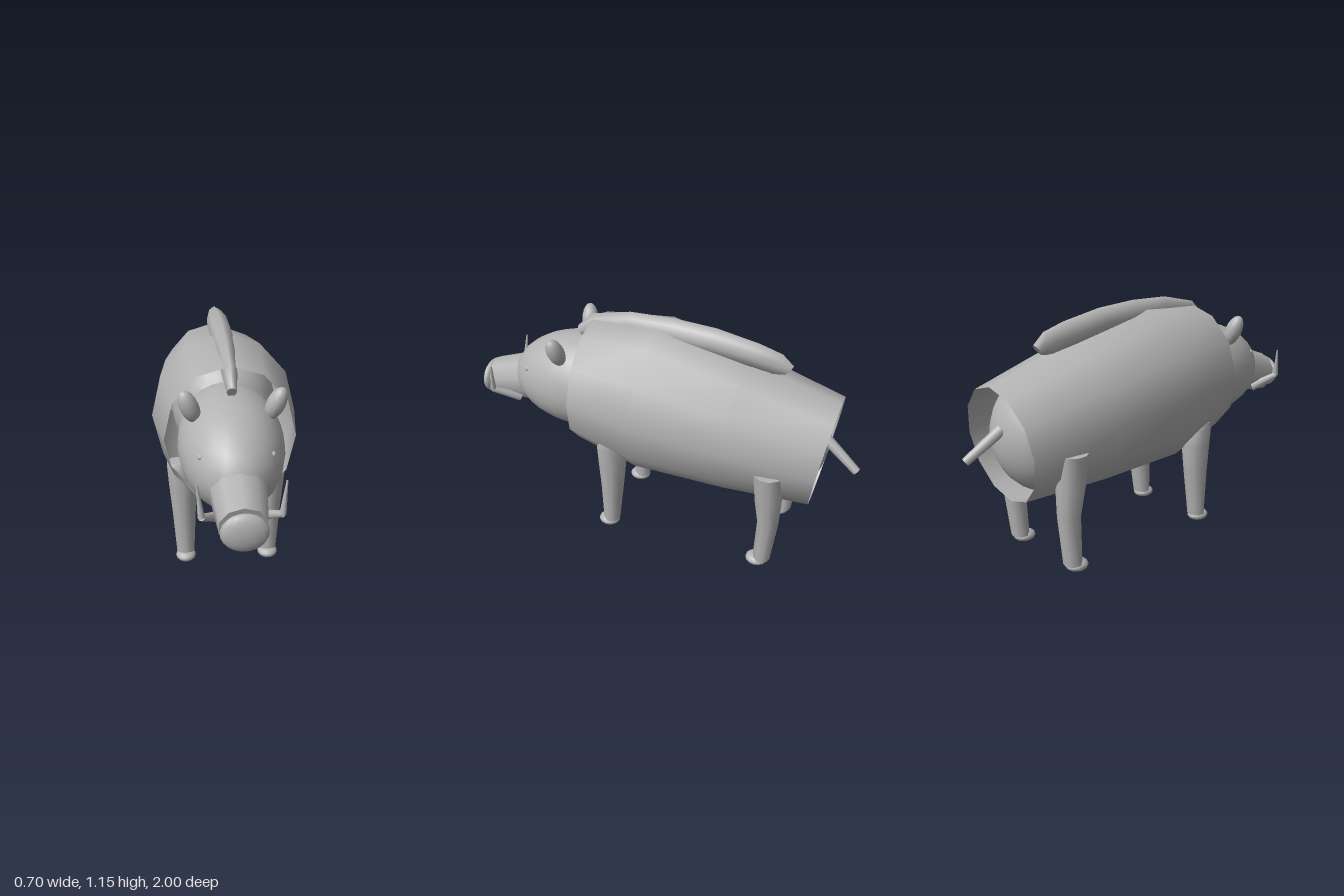
import * as THREE from 'three';

const hide = new THREE.MeshStandardMaterial({ color: 0xb3b3b3 });
hide.name = 'grey hide';
const shell = new THREE.MeshStandardMaterial({ color: 0xb3b3b3, side: THREE.DoubleSide });
shell.name = 'grey hide, open shell';

// Skin through rings; each ring is [centre, half-axis u, half-axis v]
function loft(rings, sides, capped) {
  const pos = [], index = [];
  const point = ([c, u, v], a) => c.map((k, i) => k + u[i] * Math.sin(a) + v[i] * Math.cos(a));
  for (const ring of rings)
    for (let j = 0; j < sides; j++) pos.push(...point(ring, (j / sides) * Math.PI * 2));
  for (let i = 0; i < rings.length - 1; i++)
    for (let j = 0; j < sides; j++) {
      const a = i * sides + j, b = i * sides + (j + 1) % sides;
      index.push(a, b, a + sides, b, b + sides, a + sides);
    }
  if (capped) [0, rings.length - 1].forEach((r) => {
    const start = pos.length / 3;
    for (let j = 0; j < sides; j++) pos.push(...point(rings[r], (j / sides) * Math.PI * 2));
    for (let j = 1; j < sides - 1; j++)
      index.push(start, start + (r ? j : j + 1), start + (r ? j + 1 : j));
  });
  const geo = new THREE.BufferGeometry();
  geo.setAttribute('position', new THREE.Float32BufferAttribute(pos, 3));
  geo.setIndex(index);
  geo.computeVertexNormals();
  return geo;
}

export function createModel() {
  const model = new THREE.Group();
  model.name = 'boar';

  const add = (name, geo, material = hide) => {
    const mesh = new THREE.Mesh(geo, material);
    mesh.name = name;
    model.add(mesh);
    return mesh;
  };
  const ellipsoid = (name, centre, radii, w = 24, h = 16) => {
    const mesh = add(name, new THREE.SphereGeometry(1, w, h));
    mesh.position.set(...centre);
    mesh.scale.set(...radii);
    return mesh;
  };
  const rod = (name, from, to, r0, r1, sides = 8) => {
    const a = new THREE.Vector3(...from), d = new THREE.Vector3(...to).sub(a);
    const mesh = add(name, new THREE.CylinderGeometry(r1, r0, d.length(), sides));
    mesh.position.copy(a).addScaledVector(d, 0.5);
    mesh.quaternion.setFromUnitVectors(new THREE.Vector3(0, 1, 0), d.normalize());
    return mesh;
  };

  // Barrel body, open at both ends: [y, z, half width, half height, z lean]
  const body = [
    [0.755, 0.375, 0.3, 0.335, -0.025],
    [0.728, 0.04, 0.35, 0.393, -0.04],
    [0.668, -0.4, 0.312, 0.343, -0.03],
    [0.608, -0.83, 0.252, 0.273, -0.04],
  ].map(([y, z, w, h, lean]) => [[0, y, z], [w, 0, 0], [0, h, lean]]);
  add('body', loft(body, 12, false), shell);
  ellipsoid('chest', [0, 0.775, 0.03], [0.25, 0.295, 0.27]);
  ellipsoid('rump', [0, 0.62, -0.58], [0.262, 0.28, 0.255]);

  // Crest along the back
  const crest = [
    [1.0, 0.43, 0.022, 0.025, 0.012],
    [1.045, 0.33, 0.035, 0.058, 0.03],
    [1.08, 0.15, 0.045, 0.068, 0.01],
    [1.085, -0.05, 0.055, 0.07, 0],
    [1.075, -0.25, 0.055, 0.068, -0.01],
    [1.045, -0.45, 0.045, 0.062, -0.02],
    [1.02, -0.56, 0.033, 0.055, -0.02],
    [1.0, -0.615, 0.02, 0.025, -0.02],
  ].map(([y, z, w, h, lean]) => [[0, y, z], [w, 0, 0], [0, h, lean]]);
  add('crest', loft(crest, 8, true));

  // Head, snout and nose
  const head = ellipsoid('head', [0, 0.735, 0.4], [0.24, 0.248, 0.4]);
  head.rotation.x = 0.08;
  rod('snout', [0, 0.69, 0.68], [0, 0.63, 0.925], 0.13, 0.104, 10);
  ellipsoid('nose', [0, 0.63, 0.965], [0.1, 0.086, 0.035], 16, 12);

  // Tail
  rod('tail', [0, 0.68, -0.82], [0.04, 0.56, -0.985], 0.027, 0.02);

  for (const s of [1, -1]) {
    const side = s > 0 ? 'left' : 'right';
    ellipsoid(side + 'Eye', [s * 0.152, 0.812, 0.66], [0.014, 0.014, 0.014], 10, 8);
    const ear = ellipsoid(side + 'Ear', [s * 0.188, 0.96, 0.473], [0.042, 0.083, 0.042], 14, 10);
    ear.rotation.set(0.15, 0, -s * 0.38);

    // Tusk, bent upwards
    const bend = [s * 0.165, 0.65, 0.872];
    rod(side + 'TuskBase', [s * 0.085, 0.585, 0.765], bend, 0.025, 0.015);
    rod(side + 'TuskTip', bend, [s * 0.181, 0.795, 0.857], 0.015, 0.004);

    // Legs: [x, y, z, half width, half depth], from the ankle up
    const leg = (name, rings) => add(name, loft(rings.map(([x, y, z, w, d]) =>
      [[s * x, y, z], [w, 0, 0], [0, 0, d]]), 10, true));
    leg(side + 'FrontLeg', [
      [0.207, 0.04, 0.2, 0.045, 0.042],
      [0.21, 0.28, 0.187, 0.06, 0.06],
      [0.213, 0.43, 0.182, 0.071, 0.072],
      [0.224, 0.52, 0.187, 0.066, 0.066],
      [0.238, 0.55, 0.19, 0.05, 0.04],
    ]);
    leg(side + 'RearLeg', [
      [0.207, 0.04, -0.612, 0.045, 0.043],
      [0.212, 0.28, -0.63, 0.056, 0.052],
      [0.22, 0.43, -0.622, 0.07, 0.066],
      [0.23, 0.582, -0.615, 0.073, 0.073],
    ]);

    // Hooves
    for (const [name, z] of [['FrontHoof', 0.215], ['RearHoof', -0.588]])
      ellipsoid(side + name, [s * 0.207, 0.028, z], [0.05, 0.028, 0.055], 14, 10);
  }
  return model;
}
